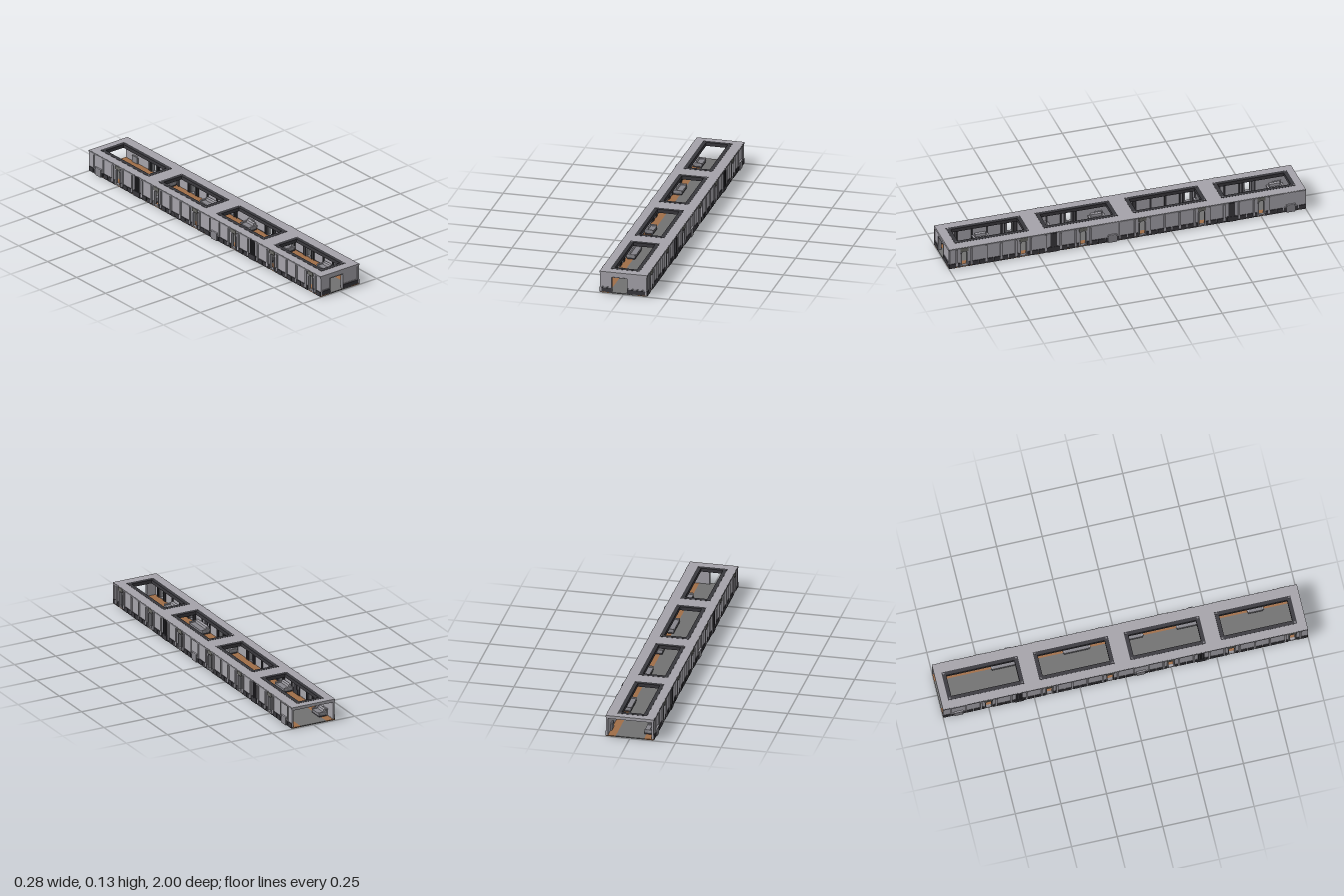
import * as THREE from 'three';

const mat = (name, color, side = THREE.FrontSide) => {
  const m = new THREE.MeshStandardMaterial({ color, side });
  m.name = name;
  return m;
};

export function createModel() {
  const M = {
    wall: mat('panel grey', 0xa5a3aa),
    trim: mat('trim grey', 0x86858b),
    header: mat('header grey', 0x6a6a66),
    dark: mat('charcoal', 0x38373c),
    wood: mat('brown floor', 0xa06e48),
    deck: mat('deck grey', 0x717171),
  };
  const root = new THREE.Group();
  root.name = 'corridorModule';

  const add = (parent, name, geo, material, x = 0, y = 0, z = 0) => {
    const m = new THREE.Mesh(geo, material);
    m.name = name;
    m.position.set(x, y, z);
    parent.add(m);
    return m;
  };
  // box given by its min and max along each axis
  const box = (parent, name, material, x0, x1, y0, y1, z0, z1) =>
    add(parent, name, new THREE.BoxGeometry(x1 - x0, y1 - y0, z1 - z0), material,
      (x0 + x1) / 2, (y0 + y1) / 2, (z0 + z1) / 2);
  const rect = (T, x0, x1, y0, y1) => {
    const s = new T();
    s.moveTo(x0, y0);
    s.lineTo(x1, y0);
    s.lineTo(x1, y1);
    s.lineTo(x0, y1);
    s.closePath();
    return s;
  };
  const arch = (T, c, w, y0, y1) => {
    const r = w / 2, s = new T();
    s.moveTo(c - r, y0);
    s.lineTo(c + r, y0);
    s.lineTo(c + r, y1 - r);
    s.absarc(c, y1 - r, r, 0, Math.PI, false);
    s.closePath();
    return s;
  };
  const extrude = (shape, depth) =>
    new THREE.ExtrudeGeometry(shape, { depth, bevelEnabled: false, curveSegments: 6 });

  const windows = [0.915, 0.582, 0.249, -0.084, -0.417, -0.75];
  const darkColumns = [0.415, -0.583];
  const hatches = [0.085, -0.915];
  const near = (list, z, d) => list.some((v) => Math.abs(v - z) < d);

  // Floor: brown margins beside a grey walkway
  box(root, 'floorWalkway', M.deck, -0.078, 0.078, 0.003, 0.008, -1, 1);
  for (const s of [-1, 1])
    box(root, 'floorMargin', M.wood, s > 0 ? 0.078 : -0.13, s > 0 ? 0.13 : -0.078, 0.003, 0.008, -1, 1);

  // Roof with four framed openings
  const bays = [[-0.96, -0.545], [-0.46, -0.05], [0.038, 0.45], [0.535, 0.95]];
  const roof = rect(THREE.Shape, -0.13, 0.13, -1, 1);
  for (const [a, b] of bays) roof.holes.push(rect(THREE.Path, -0.084, 0.076, a, b));
  const roofGeo = extrude(roof, 0.014);
  roofGeo.rotateX(Math.PI / 2);
  add(root, 'roof', roofGeo, M.wall, 0, 0.123, 0);
  for (const [a, b] of bays) {
    const f = rect(THREE.Shape, -0.085, 0.077, a - 0.001, b + 0.001);
    f.holes.push(rect(THREE.Path, -0.064, 0.056, a + 0.021, b - 0.021));
    const g = extrude(f, 0.02);
    g.rotateX(Math.PI / 2);
    add(root, 'skylightFrame', g, M.dark, 0, 0.124, 0);
    for (const x of [-0.076, 0.068])
      for (const z of [a + 0.009, b - 0.009])
        add(root, 'frameBolt', new THREE.CylinderGeometry(0.005, 0.005, 0.003, 8), M.trim, x, 0.1245, z);
  }

  // Side walls, built on +x and mirrored by sign
  for (const s of [1, -1]) {
    const side = new THREE.Group();
    side.name = s > 0 ? 'leftWall' : 'rightWall';
    root.add(side);
    const b = (name, m, x0, x1, y0, y1, z0, z1) =>
      box(side, name, m, s > 0 ? x0 : -x1, s > 0 ? x1 : -x0, y0, y1, z0, z1);
    const plate = (name, shape, m, x0, x1) => {
      const g = extrude(shape, x1 - x0);
      g.rotateY(-Math.PI / 2);
      add(side, name, g, m, s > 0 ? x1 : -x0, 0, 0);
    };

    const wall = rect(THREE.Shape, -1, 1, 0.008, 0.122);
    for (const z of windows) wall.holes.push(arch(THREE.Path, z, 0.031, 0.014, 0.1));
    plate('wallPanel', wall, M.wall, 0.12, 0.129);

    // Arched windows: surround, header and inner jambs
    for (const z of windows) {
      const f = arch(THREE.Shape, z, 0.042, 0.009, 0.106);
      f.holes.push(arch(THREE.Path, z, 0.03, 0.014, 0.1));
      plate('windowSurround', f, M.trim, 0.117, 0.133);
      b('windowHeader', M.header, 0.118, 0.1345, 0.1, 0.121, z - 0.022, z + 0.022);
      for (const d of [-0.026, 0.026])
        b('innerJamb', M.dark, 0.114, 0.12, 0.008, 0.108, z + d - 0.004, z + d + 0.004);
    }

    // Panel ribs and broken dark skirting
    for (let i = 0; i < 24; i++) {
      const z = -0.9583 + i * 0.08333;
      if (!near(hatches, z, 0.05) && !near(windows, z, 0.026) && !near(darkColumns, z, 0.03)) {
        b('panelRib', M.wall, 0.129, 0.136, 0.015, 0.115, z - 0.005, z + 0.005);
        b('innerRib', M.dark, 0.115, 0.12, 0.008, 0.11, z - 0.005, z + 0.005);
      }
    }
    for (let i = 0; i < 48; i++) {
      const z = -0.979 + i * 0.04167;
      if (near(windows, z, 0.036)) continue;
      b('skirting', M.dark, 0.128, 0.133, 0.004, 0.031, z - 0.018, z + 0.018);
    }
    for (const z of windows)
      for (const d of [-0.03, 0.03])
        b('skirtingEnd', M.dark, 0.128, 0.133, 0.004, 0.03, z + d - 0.007, z + d + 0.007);
    b('lowerSill', M.dark, 0.12, 0.13, 0.003, 0.013, -1, 1);

    // Dark service columns with stepped feet
    for (const z of darkColumns) {
      b('serviceColumn', M.dark, 0.115, 0.135, 0.008, 0.122, z - 0.017, z + 0.017);
      b('columnFoot', M.dark, 0.115, 0.137, 0.005, 0.035, z - 0.026, z + 0.026);
      for (const d of [-0.009, 0, 0.009])
        b('columnPipe', M.dark, 0.135, 0.138, 0.03, 0.118, z + d - 0.002, z + d + 0.002);
    }

    // Framed hatches with a low step box
    for (const z of hatches) {
      const f = rect(THREE.Shape, z - 0.044, z + 0.044, 0.032, 0.121);
      f.holes.push(rect(THREE.Path, z - 0.038, z + 0.038, 0.034, 0.115));
      plate('hatchFrame', f, M.wall, 0.128, 0.134);
      b('hatchStep', M.trim, 0.112, 0.136, 0.001, 0.045, z - 0.023, z + 0.023);
      b('stepTread', M.wall, 0.118, 0.138, 0.044, 0.048, z - 0.025, z + 0.025);
      b('stepFoot', M.dark, 0.106, 0.124, 0, 0.004, z - 0.02, z + 0.02);
    }
    b('roofEdge', M.trim, 0.126, 0.132, 0.114, 0.1225, -1, 1);
  }

  // Front end wall with an off-centre doorway
  const end = new THREE.Shape();
  [[-0.13, 0.004], [-0.066, 0.004], [-0.066, 0.094], [0.021, 0.094], [0.021, 0.004], [0.132, 0.004],
    [0.132, 0.123], [-0.13, 0.123]].forEach(([x, y], i) => (i ? end.lineTo(x, y) : end.moveTo(x, y)));
  end.closePath();
  add(root, 'endWall', extrude(end, 0.011), M.wall, 0, 0, 0.986);
  for (const [x0, x1] of [[-0.13, -0.067], [0.022, 0.132]]) {
    box(root, 'endSkirting', M.dark, x0, x1, 0.004, 0.031, 0.99, 1);
    box(root, 'endMoulding', M.trim, x0, x1, 0.034, 0.037, 0.99, 0.999);
  }
  for (const x of [-0.067, 0.02])
    box(root, 'doorJamb', M.trim, x, x + 0.002, 0.004, 0.095, 0.98, 1);
  box(root, 'doorLintel', M.trim, -0.067, 0.022, 0.093, 0.095, 0.98, 1);

  // Rear opening: roof beam above the open end
  box(root, 'rearBeam', M.wall, -0.129, 0.129, 0.106, 0.122, -1, -0.985);

  // Stepped benches and small consoles along both walls
  const bench = (s, z, len) => {
    const g = new THREE.Group();
    g.name = 'bench';
    g.position.set(s * 0.09, 0.008, z);
    root.add(g);
    box(g, 'benchBase', M.dark, -0.022, 0.022, 0, 0.008, -len / 2, len / 2);
    box(g, 'benchSeat', M.trim, -0.024, 0.024, 0.008, 0.02, -len / 2, len / 2);
    const back = s > 0 ? [0.008, 0.024] : [-0.024, -0.008];
    box(g, 'benchBack', M.wall, ...back, 0.02, 0.036, -len / 2 + 0.01, len / 2 - 0.01);
    for (const e of [-1, 1])
      box(g, 'benchArm', M.wall, -0.023, 0.023, 0.02, 0.026, e * len / 2 - 0.005, e * len / 2 + 0.005);
  };
  for (const [z, len] of [[0.44, 0.14], [0.1, 0.08], [-0.5, 0.1], [-0.9, 0.08], [0.75, 0.08]]) bench(-1, z, len);
  for (const [z, len] of [[-0.62, 0.13], [-0.22, 0.14], [0.4, 0.14], [0.76, 0.08], [0.1, 0.08]]) bench(1, z, len);

  return root;
}
